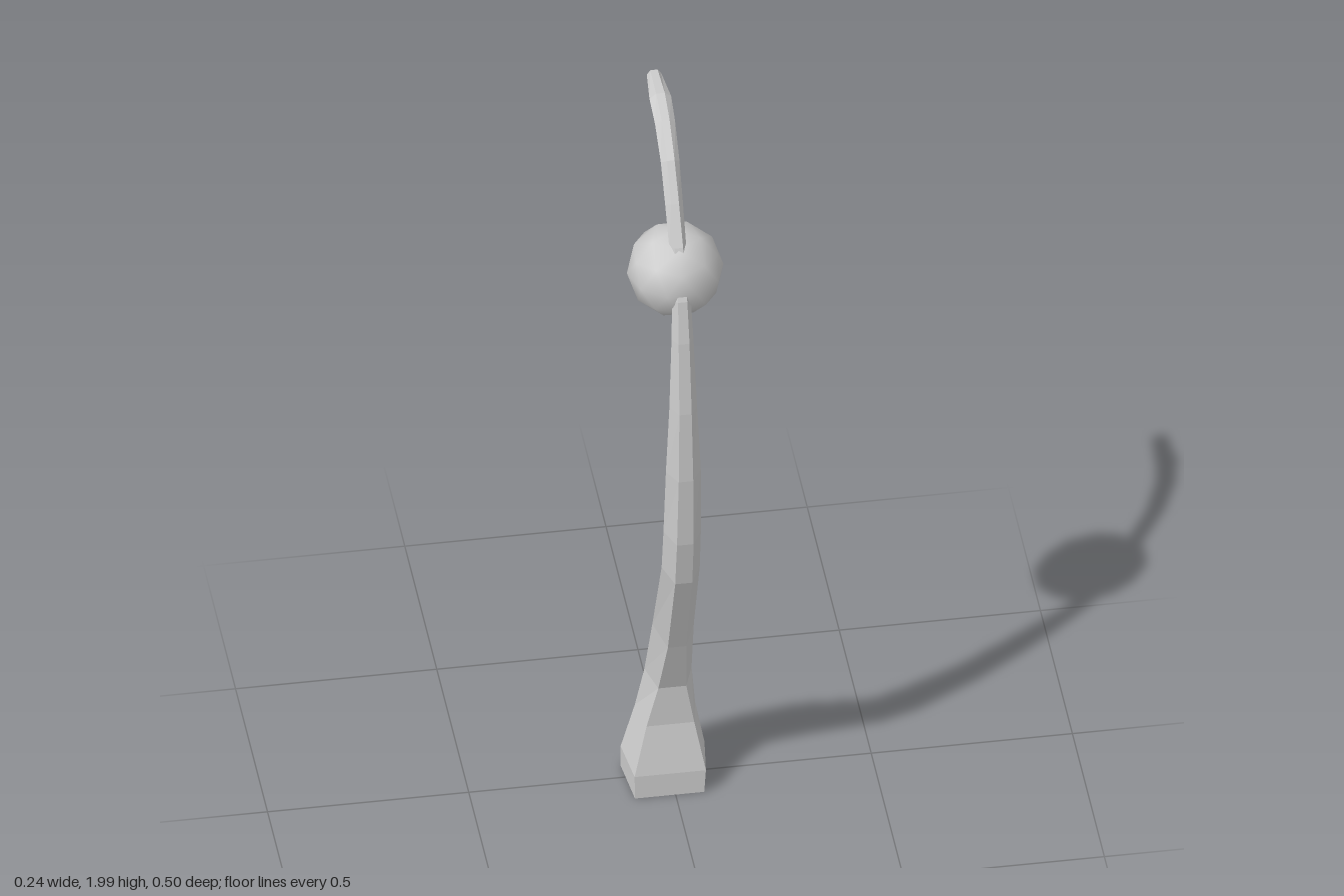
import * as THREE from 'three';

// Stem stations: [y, z, centre x, half width, half thickness, front facet fraction, lean 0..1]
const STATIONS = [
  [0.005, -0.015, -0.015, 0.1, 0.104, 0.86, 0],
  [0.07, -0.012, -0.013, 0.103, 0.099, 0.86, 0],
  [0.2, -0.013, -0.008, 0.074, 0.07, 0.8, 0],
  [0.32, 0, -0.003, 0.058, 0.056, 0.6, 0.5],
  [0.5, 0.06, 0, 0.051, 0.055, 0.45, 1],
  [0.77, 0.177, 0, 0.047, 0.041, 0.45, 1],
  [0.9, 0.2, 0, 0.046, 0.041, 0.45, 1],
  [1.1, 0.217, 0, 0.043, 0.034, 0.42, 1],
  [1.3, 0.214, 0, 0.034, 0.03, 0.45, 1],
  [1.5, 0.2, 0, 0.027, 0.021, 0.5, 1],
  [1.61, 0.183, 0, 0.023, 0.017, 0.5, 1],
  [1.73, 0.125, 0, 0.021, 0.017, 0.5, 1],
  [1.82, 0.067, 0, 0.022, 0.015, 0.45, 1],
  [1.905, 0.005, 0, 0.023, 0.014, 0.4, 1],
  [1.965, -0.075, 0, 0.025, 0.013, 0.4, 1],
  [1.987, -0.15, 0, 0.027, 0.012, 0.4, 1],
  [1.984, -0.25, 0, 0.018, 0.01, 0.5, 1],
];

// Six-sided sections swept along the bent centre line, closed at both ends
function stemGeometry() {
  const pos = [], idx = [], last = STATIONS.length - 1;
  STATIONS.forEach(([y, z, cx, w, t, f, lean], i) => {
    const a = STATIONS[Math.max(i - 1, 0)], b = STATIONS[Math.min(i + 1, last)];
    const angle = lean * Math.atan2(b[1] - a[1], b[0] - a[0]);
    const ny = -Math.sin(angle), nz = Math.cos(angle);
    const section = [[-f, 1], [f, 1], [1, -0.15], [0.3, -1], [-0.35, -1], [-1, -0.3]];
    for (const [u, v] of section) pos.push(cx + u * w, y + v * t * ny, z + v * t * nz);
  });
  for (let i = 0; i < last; i++) {
    for (let j = 0; j < 6; j++) {
      const a = i * 6 + j, b = i * 6 + (j + 1) % 6;
      idx.push(a, b, b + 6, a, b + 6, a + 6);
    }
  }
  for (let j = 1; j < 5; j++) {
    idx.push(0, j + 1, j);
    idx.push(last * 6, last * 6 + j, last * 6 + j + 1);
  }
  const g = new THREE.BufferGeometry();
  g.setAttribute('position', new THREE.Float32BufferAttribute(pos, 3));
  g.setIndex(idx);
  g.computeVertexNormals();
  return g;
}

export function createModel() {
  const group = new THREE.Group();

  // Curved stem with flared foot and bent tip
  const stem = new THREE.Mesh(
    stemGeometry(),
    new THREE.MeshStandardMaterial({ color: 0xcccccc, flatShading: true })
  );
  stem.name = 'stem';
  group.add(stem);

  // Ball around the upper stem, one corner pointing straight up
  const ballGeometry = new THREE.IcosahedronGeometry(0.12, 1);
  ballGeometry.rotateX(-Math.atan((1 + Math.sqrt(5)) / 2));
  const ball = new THREE.Mesh(ballGeometry, new THREE.MeshStandardMaterial({ color: 0xcccccc }));
  ball.name = 'ball';
  ball.position.set(0, 1.63, 0.08);
  group.add(ball);

  return group;
}
